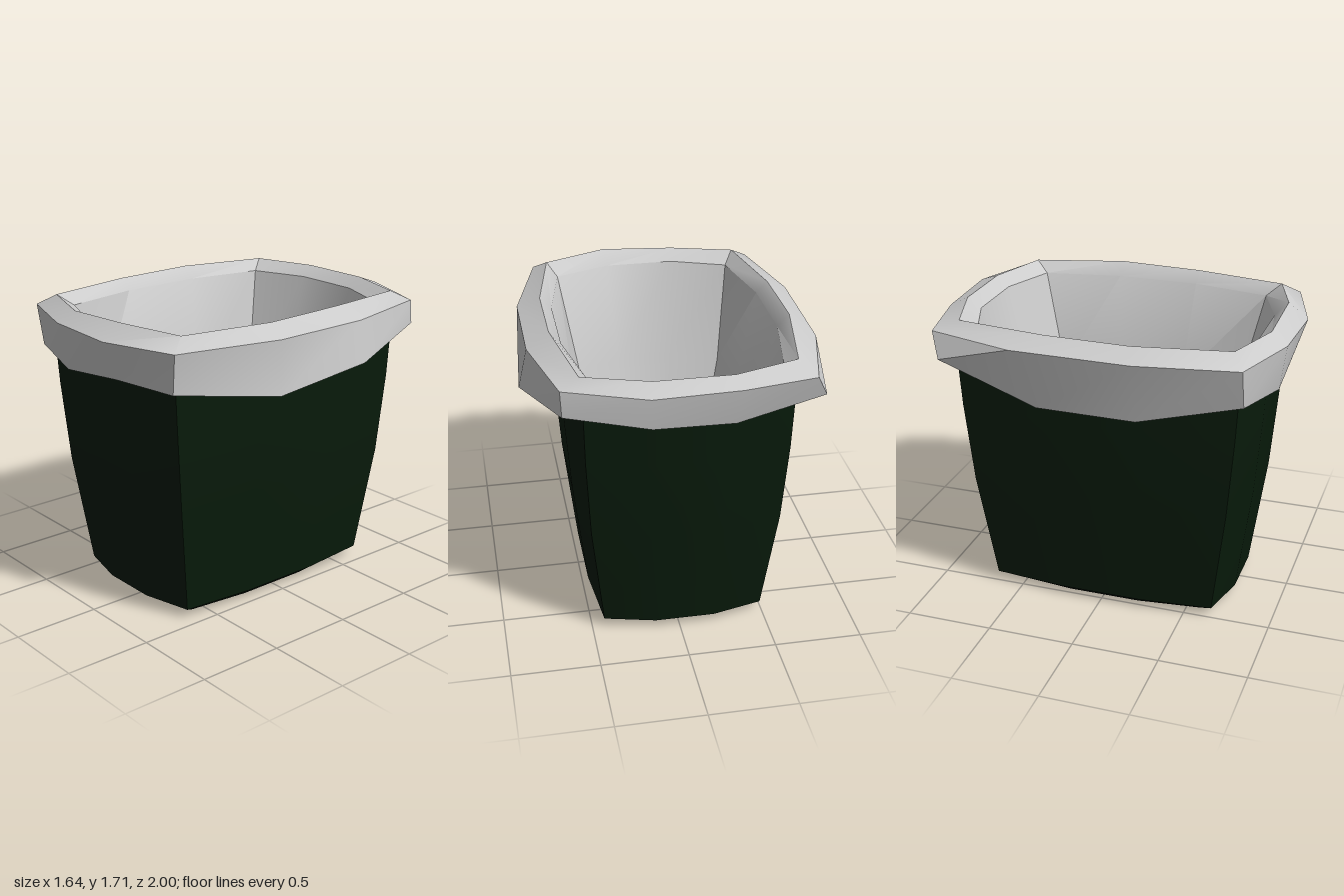
import * as THREE from 'three';
import { toCreasedNormals } from 'three/addons/utils/BufferGeometryUtils.js';

const CX = -0.03; // the bin stands slightly off centre under its draped liner

// Twelve-point bulged rectangle: corners (hx, hz), bulged sides bx and bz, side points at mx and mz
function ring(y, hx, hz, bx, bz, mx, mz) {
  return [
    [hx, hz], [bx, mz], [bx, -mz], [hx, -hz], [mx, -bz], [-mx, -bz],
    [-hx, -hz], [-bx, -mz], [-bx, mz], [-hx, hz], [-mx, bz], [mx, bz],
  ].map(([x, z], i) => [x + CX, Array.isArray(y) ? y[i] : y, z]);
}

// Skin a list of rings; cap the first or last ring with a fan if asked
function loft(rings, { capStart = false, capEnd = false }) {
  const n = rings[0].length;
  const position = rings.flat(2);
  const index = [];
  for (let r = 0; r < rings.length - 1; r++) {
    for (let i = 0; i < n; i++) {
      const a = r * n + i, b = r * n + (i + 1) % n;
      index.push(a, b, b + n, a, b + n, a + n);
    }
  }
  const last = (rings.length - 1) * n;
  for (let i = 1; i < n - 1; i++) {
    if (capStart) index.push(0, i + 1, i);
    if (capEnd) index.push(last, last + i, last + i + 1);
  }
  const geometry = new THREE.BufferGeometry();
  geometry.setAttribute('position', new THREE.Float32BufferAttribute(position, 3));
  geometry.setIndex(index);
  return toCreasedNormals(geometry, 0.6);
}

function addMesh(group, name, geometry, color) {
  const material = new THREE.MeshStandardMaterial({ color, side: THREE.DoubleSide });
  const mesh = new THREE.Mesh(geometry, material);
  mesh.name = name;
  group.add(mesh);
}

export function createModel() {
  const group = new THREE.Group();
  group.name = 'linedBin';

  // Tapered bin with a bevelled base
  addMesh(group, 'bin', loft([
    ring(0, 0.39, 0.57, 0.43, 0.63, 0.15, 0.21),
    ring(0.055, 0.46, 0.66, 0.50, 0.73, 0.17, 0.24),
    ring(0.70, 0.53, 0.745, 0.575, 0.82, 0.20, 0.26),
    ring(1.17, 0.555, 0.785, 0.61, 0.86, 0.21, 0.27),
    ring(1.60, 0.565, 0.81, 0.63, 0.88, 0.21, 0.27),
  ], { capStart: true }), 0x081b0b);

  // Uneven hem and fold of the liner, in the same order as the ring points
  const hem = [
    [0.59, 1.40, 0.86], [0.78, 1.325, 0.29], [0.82, 1.405, -0.29], [0.645, 1.50, -0.85],
    [0.20, 1.46, -0.98], [-0.25, 1.42, -0.92], [-0.75, 1.50, -0.84], [-0.735, 1.285, -0.28],
    [-0.735, 1.28, 0.28], [-0.65, 1.40, 0.84], [-0.25, 1.36, 0.94], [0.20, 1.405, 0.93],
  ];
  const fold = [
    [0.62, 1.625, 0.87], [0.77, 1.63, 0.28], [0.77, 1.635, -0.30], [0.65, 1.64, -0.83],
    [0.21, 1.64, -1.00], [-0.27, 1.64, -0.98], [-0.68, 1.635, -0.90], [-0.81, 1.63, -0.40],
    [-0.82, 1.63, 0.28], [-0.71, 1.625, 0.84], [-0.28, 1.625, 0.98], [0.18, 1.62, 1.00],
  ];
  const peakY = [1.69, 1.69, 1.70, 1.685, 1.685, 1.685, 1.685, 1.695, 1.69, 1.69, 1.685, 1.705];

  // The tapering pouch slumps sideways at two opposite corners
  const pouch = ring(1.05, 0.42, 0.56, 0.485, 0.65, 0.16, 0.19)
    .map(([x, y, z], i) => [i % 6 === 3 ? x + 0.035 * Math.sign(x) : x, y, z]);

  // Liner draped over the rim and hanging inside the bin
  addMesh(group, 'liner', loft([
    hem,
    fold,
    ring(peakY, 0.575, 0.77, 0.67, 0.885, 0.215, 0.24),
    ring(1.625, 0.52, 0.69, 0.605, 0.81, 0.20, 0.24),
    pouch,
    ring(0.08, 0.245, 0.33, 0.275, 0.37, 0.095, 0.11),
  ], { capEnd: true }), 0xcccccc);

  return group;
}
